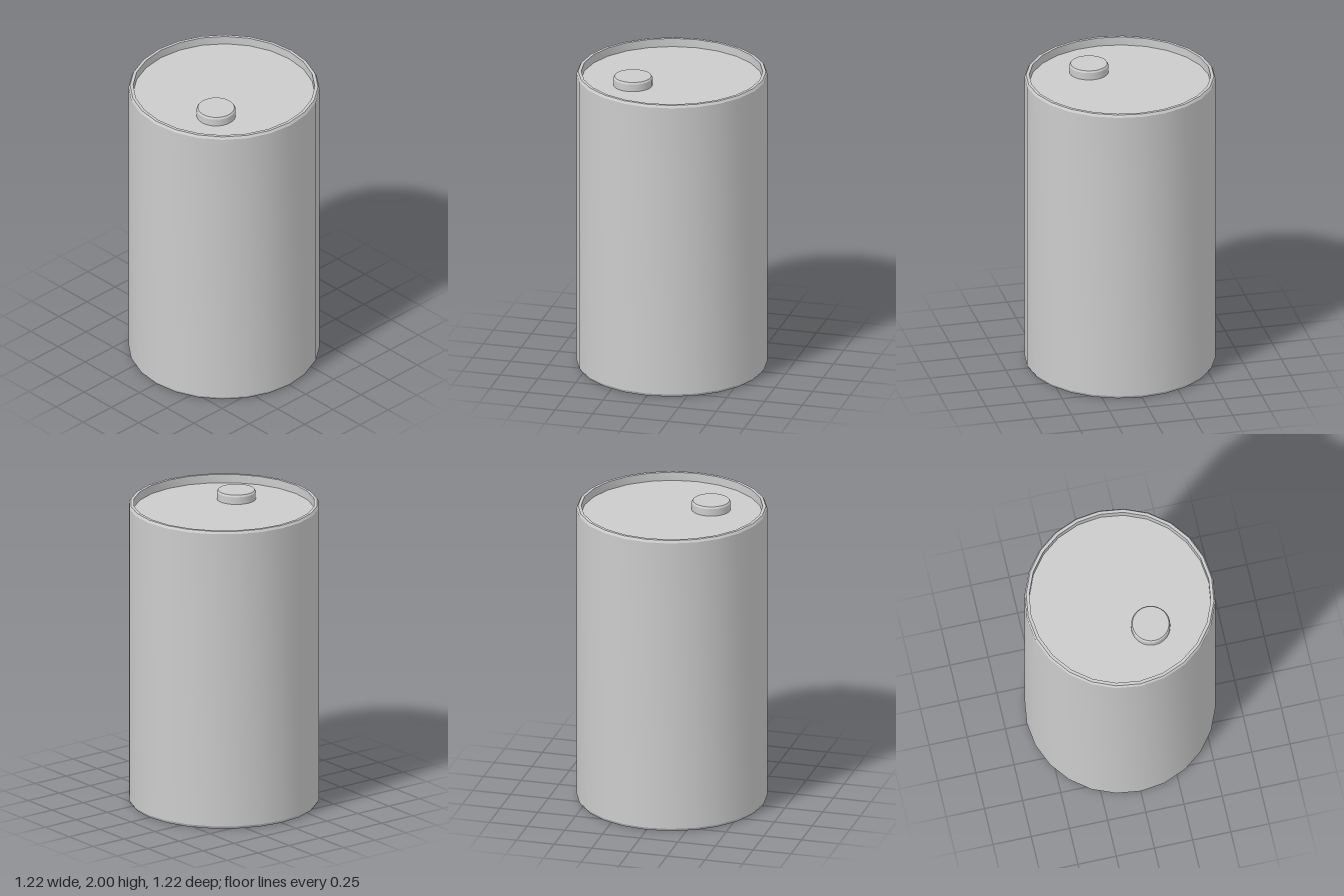
import * as THREE from 'three';
import { toCreasedNormals } from 'three/addons/utils/BufferGeometryUtils.js';

const material = new THREE.MeshStandardMaterial({ color: 0xcccccc });

// Turned part with smooth sides and sharp profile corners
function turned(name, profile, sides) {
  const points = profile.map(([r, y]) => new THREE.Vector2(r, y));
  const geometry = toCreasedNormals(new THREE.LatheGeometry(points, sides), Math.PI / 9);
  const mesh = new THREE.Mesh(geometry, material);
  mesh.name = name;
  return mesh;
}

export function createModel() {
  const group = new THREE.Group();
  group.name = 'drum';

  // Drum shell: recessed base, bevelled rims, recessed lid
  group.add(turned('drumBody', [
    [0, 0.055], [0.58, 0.055], [0.58, 0], [0.6, 0], [0.61, 0.018],
    [0.61, 1.98], [0.6, 1.996], [0.58, 1.996], [0.58, 1.94], [0, 1.94],
  ], 24));

  // Filler cap on the lid, toward the front right
  const cap = turned('fillerCap', [
    [0.125, 0], [0.125, 0.048], [0.117, 0.06], [0, 0.06],
  ], 32);
  cap.position.set(-0.217, 1.94, 0.152);
  group.add(cap);

  return group;
}
